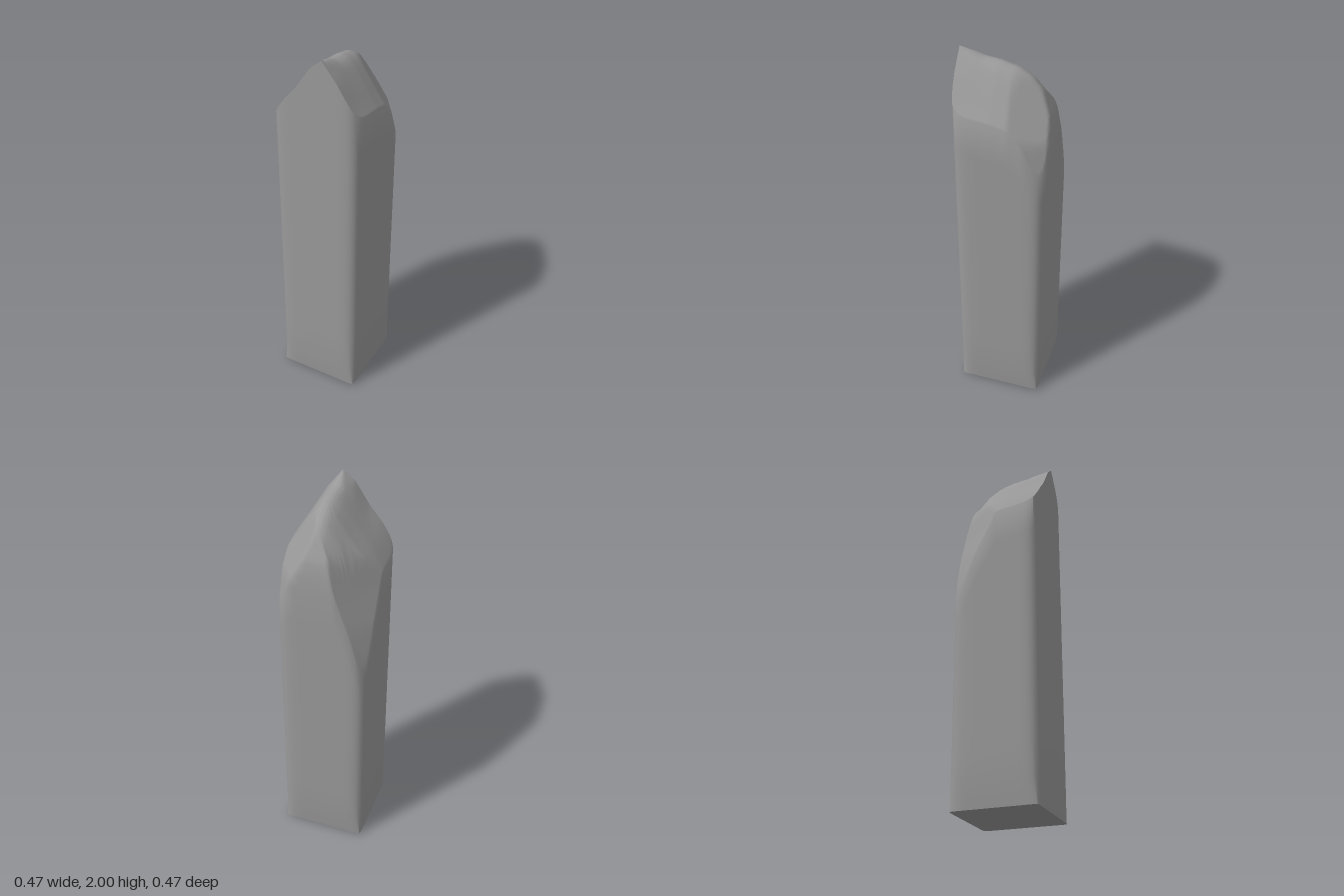
import * as THREE from 'three';
import { toCreasedNormals } from 'three/addons/utils/BufferGeometryUtils.js';

const RIDGE_X = 0.05;

// Linear interpolation through [position, value] pairs, clamped at the ends
function along(points, t) {
  if (t <= points[0][0]) return points[0][1];
  for (let i = 1; i < points.length; i++) {
    const [t0, v0] = points[i - 1], [t1, v1] = points[i];
    if (t <= t1) return v0 + (v1 - v0) * (t - t0) / (t1 - t0);
  }
  return points[points.length - 1][1];
}

// Off-centre gable, its ridge falling to the back, and the three back cuts
const gable = [[-0.3, 1.52], [-0.235, 1.63], [-0.2, 1.69], [-0.15, 1.76], [-0.09, 1.83], [-0.01, 1.95],
  [RIDGE_X, 2.0], [0.13, 1.9], [0.215, 1.76], [0.3, 1.64]];
const ridgeDrop = [[-0.235, 0.18], [-0.175, 0.145], [-0.12, 0.085], [-0.05, 0.043], [0.035, 0.022], [0.235, 0]];
const backCut = [[0, 1.58], [0.015, 1.72], [0.06, 1.82], [0.12, 1.95], [0.2, 2.1]];
const scoopCut = [[0, 1.1], [0.015, 1.22], [0.05, 1.38], [0.1, 1.55], [0.15, 1.75], [0.3, 2.1]];
const cornerCut = [[0, 1.45], [0.04, 1.62], [0.15, 1.82], [0.3, 2.1]];

// The gable is sharp at the front and its ridge rounds off behind
function gableHeight(x, z) {
  const w = 0.045 * Math.min(1, (0.235 - z) / 0.12);
  let sum = 0;
  for (let k = -2; k <= 2; k++) sum += along(gable, x + w * k / 2);
  return sum / 5;
}

function topHeight(x, z) {
  return Math.min(
    gableHeight(x, z) - along(ridgeDrop, z),
    along(backCut, z + 0.235),
    along(scoopCut, 0.81 * (x + 0.215) + 0.57 * (z + 0.215)),
    along(cornerCut, 0.81 * (0.215 - x) + 0.57 * (z + 0.215)),
  );
}

// Rounded-square outline point
function outline(angle, half, power) {
  const c = Math.cos(angle), s = Math.sin(angle);
  const r = half / Math.pow(Math.abs(c) ** power + Math.abs(s) ** power, 1 / power);
  return [r * c, r * s];
}

// Shaft outline, with one point each at front and back set on the ridge line
function shaftOutline(angle) {
  const [x, z] = outline(angle, 0.235, 7.5);
  return [Math.abs(x - RIDGE_X) < 0.0066 ? RIDGE_X : x, z];
}

function postGeometry() {
  const sides = 112, wallRows = 8;
  const insets = [0.97, 0.94, 0.9, 0.86, 0.82, 0.77, 0.72, 0.66, 0.6, 0.52, 0.44, 0.35, 0.25, 0.15, 0.07, 0];
  const rows = [];
  const addRow = (point) => rows.push(Array.from({ length: sides },
    (_, i) => point(i / sides * Math.PI * 2)));

  // Foot: almost flat underside with a crisp, slightly narrower edge
  addRow(() => [0, 0, 0]);
  addRow((a) => { const [x, z] = outline(a, 0.223, 40); return [x, 0.01, z]; });

  // Shaft walls up to the cut edge
  for (let k = 0; k <= wallRows; k++) {
    addRow((a) => {
      const [x, z] = shaftOutline(a);
      return [x, 0.14 + (topHeight(x, z) - 0.14) * k / wallRows, z];
    });
  }
  // Carved top, ring by ring towards the ridge
  for (const s of insets) {
    addRow((a) => {
      const [ox, oz] = shaftOutline(a);
      const x = RIDGE_X + (ox - RIDGE_X) * s, z = oz * s;
      return [x, topHeight(x, z), z];
    });
  }

  const index = [];
  const last = rows.length - 2;
  for (let j = 0; j <= last; j++) {
    for (let i = 0; i < sides; i++) {
      const n = (i + 1) % sides;
      const a = j * sides + i, b = j * sides + n, c = a + sides, d = b + sides;
      if (j < last) index.push(a, c, d);
      if (j > 0) index.push(a, d, b);
    }
  }
  const geometry = new THREE.BufferGeometry();
  geometry.setAttribute('position', new THREE.Float32BufferAttribute(rows.flat(2), 3));
  geometry.setIndex(index);
  return toCreasedNormals(geometry, 1.1);
}

export function createModel() {
  const group = new THREE.Group();
  group.name = 'carvedPost';
  const post = new THREE.Mesh(postGeometry(), new THREE.MeshStandardMaterial({ color: 0x999999 }));
  post.name = 'post';
  group.add(post);
  return group;
}
